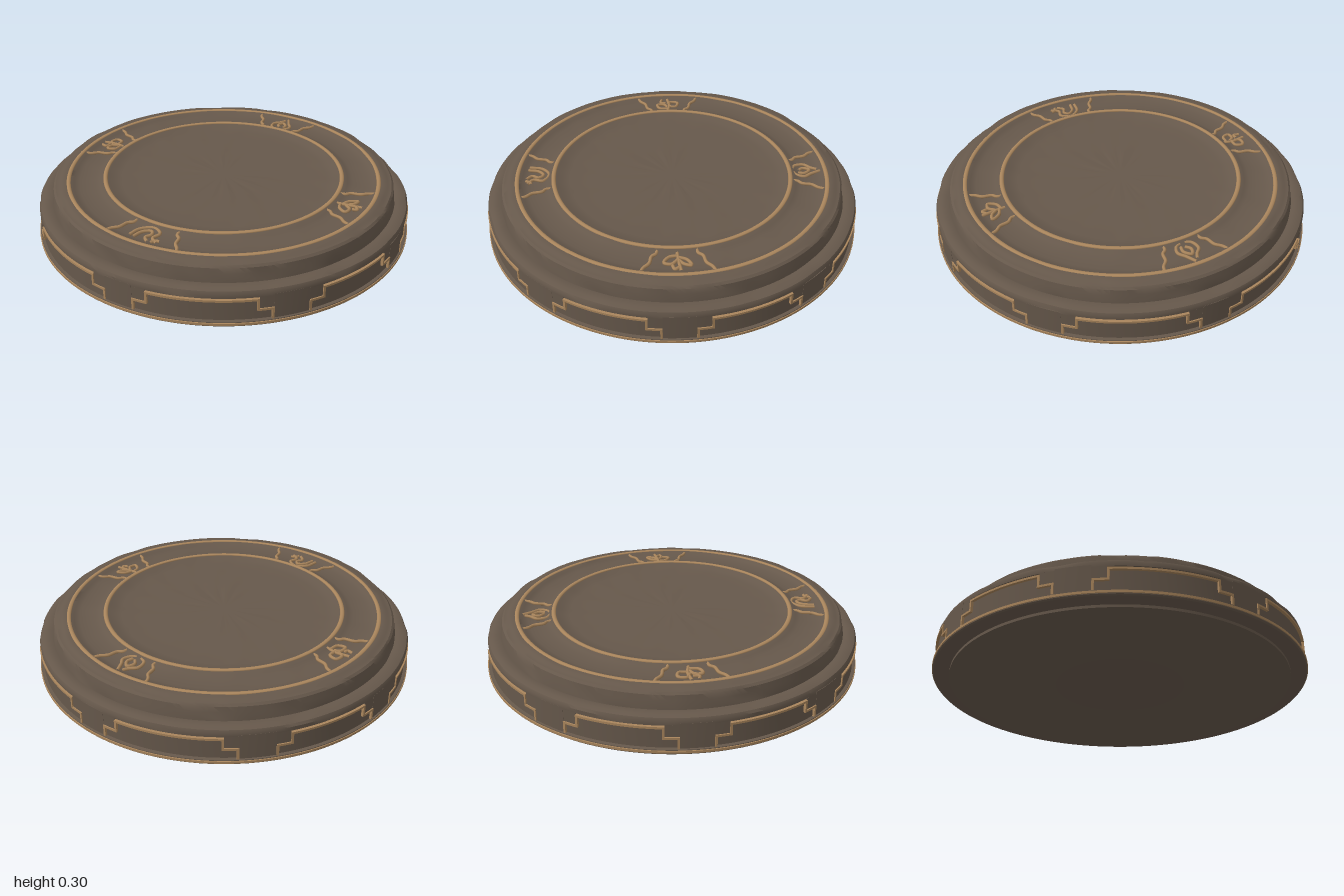
import * as THREE from 'three';
import { toCreasedNormals } from 'three/addons/utils/BufferGeometryUtils.js';

const DEG = Math.PI / 180;
const stone = new THREE.MeshStandardMaterial({ color: 0x66584b });
stone.name = 'brown stone';
const gold = new THREE.MeshStandardMaterial({ color: 0xa9855c });
gold.name = 'dull gold';

function add(parent, name, geometry, material) {
  const mesh = new THREE.Mesh(geometry, material);
  mesh.name = name;
  parent.add(mesh);
  return mesh;
}

// Gentle wear that repeats cleanly around the circle
function wear(a, r, y) {
  return Math.sin(5 * a + 9 * r) * Math.sin(11 * a + 40 * y) + 0.6 * Math.sin(23 * a + 14 * r) * Math.sin(8 * a - 1);
}

// Lathed stone with worn surfaces and crisp edges
function wornLathe(profile, segments = 180) {
  const geo = new THREE.LatheGeometry(profile.map(([r, y]) => new THREE.Vector2(r, y)), segments);
  const p = geo.attributes.position;
  for (let i = 0; i < p.count; i++) {
    const x = p.getX(i), y = p.getY(i), z = p.getZ(i);
    const r = Math.hypot(x, z);
    if (y < 0.18 || r < 0.02) continue;
    const a = Math.atan2(x, z);
    const w = wear(a, r, y);
    const s = 1 - (r > 0.85 ? 0.004 * Math.max(0, w) : 0);
    const dy = r > 0.85 ? -0.003 * Math.max(0, w) : 0.0012 * w;
    p.setXYZ(i, x * s, y + dy, z * s);
  }
  return toCreasedNormals(geo, 35 * DEG);
}

// Box wrapped around the vertical axis; angles in degrees from the front
function bentBox(a0, a1, y0, y1, r0, r1) {
  const n = Math.max(1, Math.ceil((a1 - a0) / 2));
  const geo = new THREE.BoxGeometry(1, 1, 1, n, 1, 1);
  const p = geo.attributes.position;
  for (let i = 0; i < p.count; i++) {
    const a = (a0 + (p.getX(i) + 0.5) * (a1 - a0)) * DEG;
    const r = r0 + (p.getZ(i) + 0.5) * (r1 - r0);
    p.setXYZ(i, Math.sin(a) * r, y0 + (p.getY(i) + 0.5) * (y1 - y0), Math.cos(a) * r);
  }
  return toCreasedNormals(geo, 35 * DEG);
}

// Raised gold stroke lying on the top, through points (sideways, outward)
function stroke(points, y, radius) {
  const curve = new THREE.CatmullRomCurve3(points.map(([u, v]) => new THREE.Vector3(u, y, v)));
  return new THREE.TubeGeometry(curve, 28, radius, 6);
}

export function createModel() {
  const model = new THREE.Group();
  model.name = 'roundPedestal';

  // Foot, lower drum, upper tier, ring channel and shallow dished centre
  add(model, 'stoneBody', wornLathe([
    [0, 0], [0.9, 0], [0.91, 0.004], [0.91, 0.018], [0.99, 0.018], [0.997, 0.024],
    [0.996, 0.045], [0.98, 0.047], [0.978, 0.166], [0.986, 0.17], [0.987, 0.19],
    [0.98, 0.203], [0.96, 0.21], [0.935, 0.21], [0.918, 0.206], [0.916, 0.222],
    [0.911, 0.25], [0.906, 0.276], [0.895, 0.286], [0.875, 0.288], [0.865, 0.294],
    [0.84, 0.295], [0.815, 0.294], [0.8, 0.283], [0.77, 0.277], [0.73, 0.276],
    [0.69, 0.278], [0.665, 0.284], [0.65, 0.293], [0.63, 0.294], [0.615, 0.29],
    [0.59, 0.279], [0.55, 0.274], [0.45, 0.273], [0.3, 0.273], [0.15, 0.273], [0, 0.273],
  ]), stone);

  // Gold bands around the base and on the top
  const baseBand = new THREE.LatheGeometry([
    [0.99, 0.026], [1, 0.028], [1, 0.04], [0.99, 0.043],
  ].map(([r, y]) => new THREE.Vector2(r, y)), 180);
  add(model, 'baseBand', toCreasedNormals(baseBand, 35 * DEG), gold);
  for (const [name, r] of [['innerRing', 0.634], ['outerRing', 0.827]]) {
    const ring = add(model, name, new THREE.TorusGeometry(r, 0.012, 8, 160), gold);
    ring.rotation.x = -Math.PI / 2;
    ring.scale.z = 0.6;
    ring.position.y = 0.293;
  }

  // Side panels with stepped upper corners: one outline, eight spans
  const spans = [[4.3, 43], [53, 85.4], [94.6, 127], [137, 175.7],
    [184.3, 223], [233, 265.4], [274.6, 307], [317, 355.7]];
  const t = 0.65, step = 4;
  spans.forEach(([a, b], i) => {
    const panel = new THREE.Group();
    panel.name = `sidePanel${i + 1}`;
    const bars = [
      [a, a + t, 0.043, 0.107], [b - t, b, 0.043, 0.107],
      [a + t, a + step, 0.096, 0.107], [b - step, b - t, 0.096, 0.107],
      [a + step, a + step + t, 0.096, 0.162], [b - step - t, b - step, 0.096, 0.162],
      [a + step + t, b - step - t, 0.151, 0.162],
    ];
    for (const bar of bars) add(panel, 'goldTrim', bentBox(...bar, 0.97, 0.992), gold);

    // Raised stone filling the stepped corners
    add(panel, 'cornerStone', bentBox(a, a + step, 0.107, 0.17, 0.965, 0.986), stone);
    add(panel, 'cornerStone', bentBox(b - step, b, 0.107, 0.17, 0.965, 0.986), stone);
    model.add(panel);

    // Pilaster between this panel and the next
    const next = i < 7 ? spans[i + 1][0] : spans[0][0] + 360;
    add(model, 'pilaster', bentBox(b, next, 0.044, 0.178, 0.965, 0.987), stone);
  });

  // Carved ornaments: front coil, right leaf, back flame, left sprig
  const ornaments = [
    [[[-0.08, 0.77], [-0.065, 0.7], [-0.01, 0.66], [0.045, 0.69], [0.035, 0.74], [0.075, 0.77]],
      [[-0.055, 0.775], [-0.04, 0.715], [-0.005, 0.69], [0.015, 0.715], [0, 0.75], [0.03, 0.78]],
      [[0.045, 0.78], [0.06, 0.755], [0.08, 0.75]]],
    [[[0, 0.66], [0.005, 0.72], [0.015, 0.79]],
      [[0, 0.69], [0.045, 0.71], [0.065, 0.75], [0.03, 0.74], [0.005, 0.71]],
      [[0, 0.68], [-0.04, 0.69], [-0.065, 0.73], [-0.03, 0.74], [0, 0.71]],
      [[-0.025, 0.75], [-0.015, 0.775], [0.01, 0.76]]],
    [[[0.02, 0.65], [-0.035, 0.665], [-0.055, 0.71], [-0.03, 0.75], [-0.005, 0.8]],
      [[0, 0.65], [0.045, 0.67], [0.055, 0.72], [0.025, 0.755], [0.01, 0.785]],
      [[-0.02, 0.68], [-0.025, 0.715], [0.005, 0.745], [0.02, 0.71], [0, 0.685]]],
    [[[0, 0.66], [-0.01, 0.72], [0, 0.79]],
      [[0, 0.68], [0.05, 0.69], [0.06, 0.73], [0.02, 0.73], [0, 0.7]],
      [[-0.005, 0.71], [-0.05, 0.71], [-0.06, 0.75], [-0.02, 0.76], [0, 0.73]],
      [[0.01, 0.75], [0.04, 0.755], [0.035, 0.785]]],
  ];
  const names = ['front', 'left', 'back', 'right'];
  ornaments.forEach((strokes, i) => {
    const cartouche = new THREE.Group();
    cartouche.name = `${names[i]}Cartouche`;
    cartouche.rotation.y = i * Math.PI / 2;
    for (const s of strokes) add(cartouche, 'ornament', stroke(s, 0.281, 0.009), gold);

    // Curved side brackets between the two rings
    const wide = i === 0 ? 0.025 : 0;
    for (const side of [-1, 1]) {
      const bracket = [[0.095, 0.63], [0.1, 0.665], [0.122, 0.685], [0.135, 0.735], [0.162, 0.765], [0.18, 0.81]]
        .map(([u, v]) => [side * (u + wide), v]);
      add(cartouche, 'bracket', stroke(bracket, 0.284, 0.009), gold);
    }
    model.add(cartouche);
  });

  return model;
}
